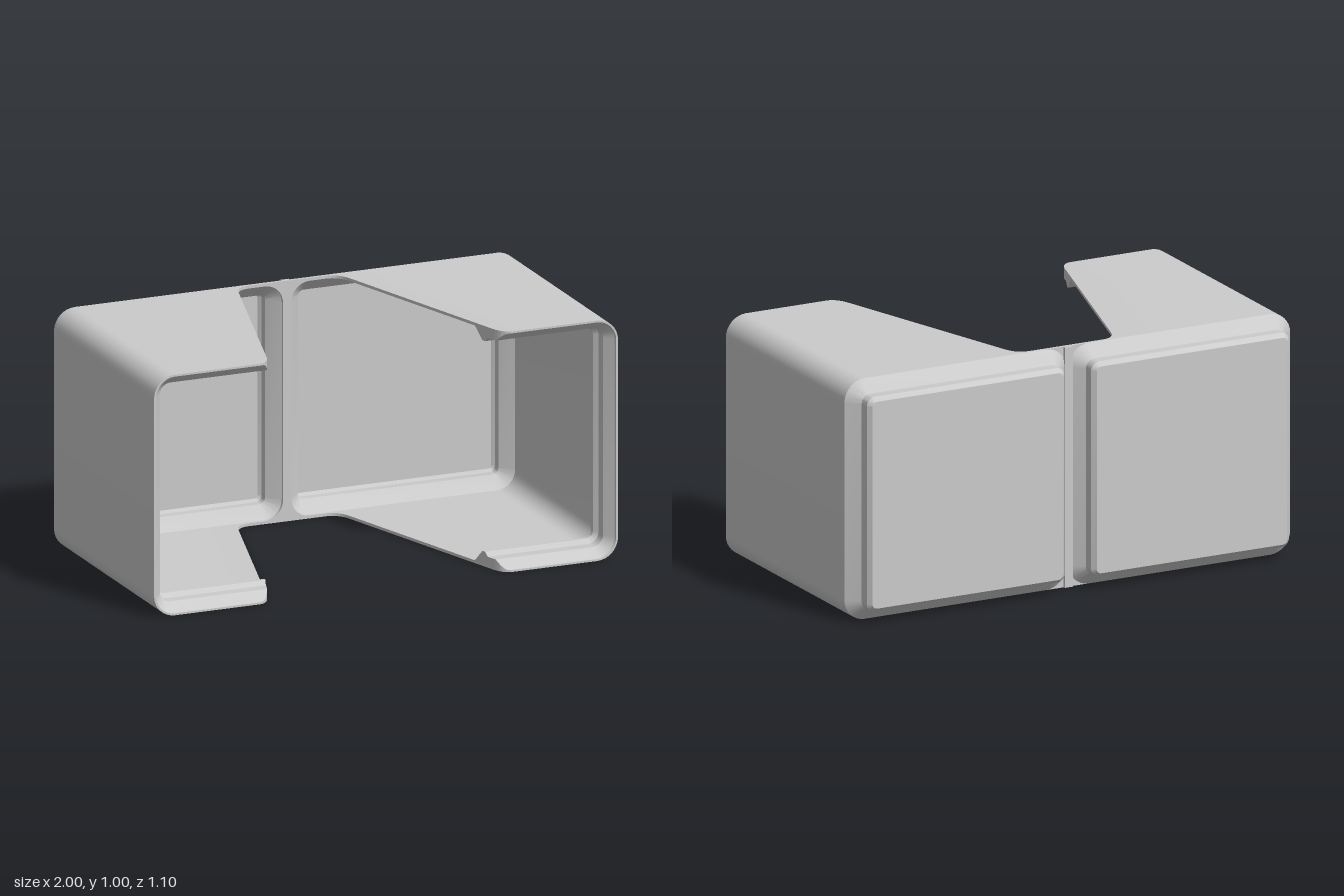
import * as THREE from 'three';
import { toCreasedNormals } from 'three/addons/utils/BufferGeometryUtils.js';

const H = 0.995, R = 0.09, FRONT = 0.548, BACK = -0.548, FRAME = -0.43, SEAT = -0.443;
const material = new THREE.MeshStandardMaterial({ color: 0xcccccc });

// Skin a stack of closed loops (clockwise seen from +z, stacked towards +z)
function loft(rows) {
  const pos = [];
  const tri = (a, b, c) => {
    const n = b.clone().sub(a).cross(c.clone().sub(a));
    if (n.length() > 1e-9) pos.push(...a.toArray(), ...b.toArray(), ...c.toArray());
  };
  for (let i = 0; i + 1 < rows.length; i++) {
    const p = rows[i], q = rows[i + 1], n = p.length;
    for (let j = 0; j < n; j++) {
      const k = (j + 1) % n;
      tri(p[j], q[j], q[k]);
      tri(p[j], q[k], p[k]);
    }
  }
  const g = new THREE.BufferGeometry();
  g.setAttribute('position', new THREE.Float32BufferAttribute(pos, 3));
  return toCreasedNormals(g, 0.5);
}

function addMesh(group, name, geometry) {
  const mesh = new THREE.Mesh(geometry, material);
  mesh.name = name;
  group.add(mesh);
}

// Quarter arc running clockwise from angle a
function arc(cx, cy, r, a) {
  const pts = [];
  for (let i = 0; i <= 8; i++) {
    const t = a - (i / 8) * Math.PI / 2;
    pts.push([cx + r * Math.cos(t), cy + r * Math.sin(t)]);
  }
  return pts;
}

// Clockwise rounded rectangle
function roundRect(x0, x1, y0, y1, r) {
  const h = Math.PI / 2;
  return [...arc(x1 - r, y1 - r, r, h), ...arc(x1 - r, y0 + r, r, 0),
    ...arc(x0 + r, y0 + r, r, -h), ...arc(x0 + r, y1 - r, r, 2 * h)];
}

// One cell outline, inset by d, for side s
function cell(s, d) {
  const pts = roundRect(0.006 + d, 1 - d, d, H - d, Math.max(R - d, 0.012));
  return s > 0 ? pts : pts.map(([x, y]) => [-x, y]).reverse();
}
const at = (pts, z) => pts.map(([x, y]) => new THREE.Vector3(x, y, z));
const centre = (s, z) => at(cell(s, 0).map(() => [s * 0.5, H / 2]), z);

// Piecewise linear lookup in [z, value] pairs
function lookup(table, z) {
  for (let i = 1; i < table.length; i++) {
    const [z0, v0] = table[i - 1], [z1, v1] = table[i];
    if (z <= z1) return v0 + (v1 - v0) * (z - z0) / (z1 - z0);
  }
  return table[table.length - 1][1];
}

// Filleted edge of the tapered cutout as [z, x]
function cutoutEdge() {
  const V = (z, x) => new THREE.Vector2(z, x);
  const back = new THREE.QuadraticBezierCurve(V(FRAME, 0.165), V(FRAME, 0.22), V(-0.36, 0.24));
  const front = new THREE.QuadraticBezierCurve(V(0.48, 0.485), V(FRONT, 0.505), V(FRONT, 0.55));
  return [...back.getPoints(8), ...front.getPoints(8)].map(p => [p.x, p.y]);
}

// Wall thickness along z, swelling into the stepped lip at the opening
const wall = [[FRAME, 0.012], [0.38, 0.012], [0.425, 0.062], [0.44, 0.062],
  [0.457, 0.045], [0.502, 0.045], [0.54, 0.01], [FRONT, 0.008]];

function sideShell(s) {
  const edge = cutoutEdge();
  const zs = [...wall, ...edge].map(p => p[0]).sort((a, b) => a - b)
    .filter((z, i, all) => i === 0 || z - all[i - 1] > 1e-5);
  const path = (z, d) => {
    const x = lookup(edge, z);
    return [[x, H - d], ...arc(1 - R, H - R, R - d, Math.PI / 2), ...arc(1 - R, R, R - d, 0), [x, d]];
  };
  const row = (z, d) => {
    const pts = [...path(z, 0), ...path(z, d).reverse()].map(([x, y]) => [s * x, y]);
    return at(s > 0 ? pts : pts.reverse(), z);
  };
  const rows = zs.map(z => row(z, lookup(wall, z)));
  rows.push(row(FRONT, 0)); // closes the rim
  return loft(rows);
}

export function createModel() {
  const group = new THREE.Group();
  const toVec = pts => pts.map(([x, y]) => new THREE.Vector2(x, y));

  // Thin frame joining both cells, with two openings
  const outline = new THREE.Shape(toVec(roundRect(-1, 1, 0, H, R)));
  for (const s of [1, -1]) outline.holes.push(new THREE.Path(toVec(cell(s, 0.012))));
  const frame = new THREE.ExtrudeGeometry(outline, { depth: FRAME - SEAT, bevelEnabled: false });
  frame.translate(0, 0, SEAT);
  addMesh(group, 'backFrame', toCreasedNormals(frame, 0.5));

  // Strip closing the groove between the pads
  const strip = new THREE.BoxGeometry(0.036, H - 0.002, 0.024);
  strip.translate(0, H / 2, -0.443);
  addMesh(group, 'grooveStrip', strip);

  for (const s of [1, -1]) {
    const side = s > 0 ? 'left' : 'right';
    addMesh(group, side + 'SideShell', sideShell(s));

    // Stepped pad on the back
    const pad = [[BACK, 0.07], [-0.531, 0.053], [-0.488, 0.053], [SEAT, 0], [SEAT + 0.001, 0]];
    addMesh(group, side + 'BackPad',
      loft([centre(s, BACK), ...pad.map(([z, d]) => at(cell(s, d), z))]));

    // Matching recess inside
    const recess = [[FRAME, 0.012], [SEAT, 0.012], [-0.488, 0.065], [-0.522, 0.065], [-0.532, 0.077]];
    addMesh(group, side + 'Recess',
      loft([...recess.map(([z, d]) => at(cell(s, d), z)), centre(s, -0.532)]));
  }
  return group;
}
